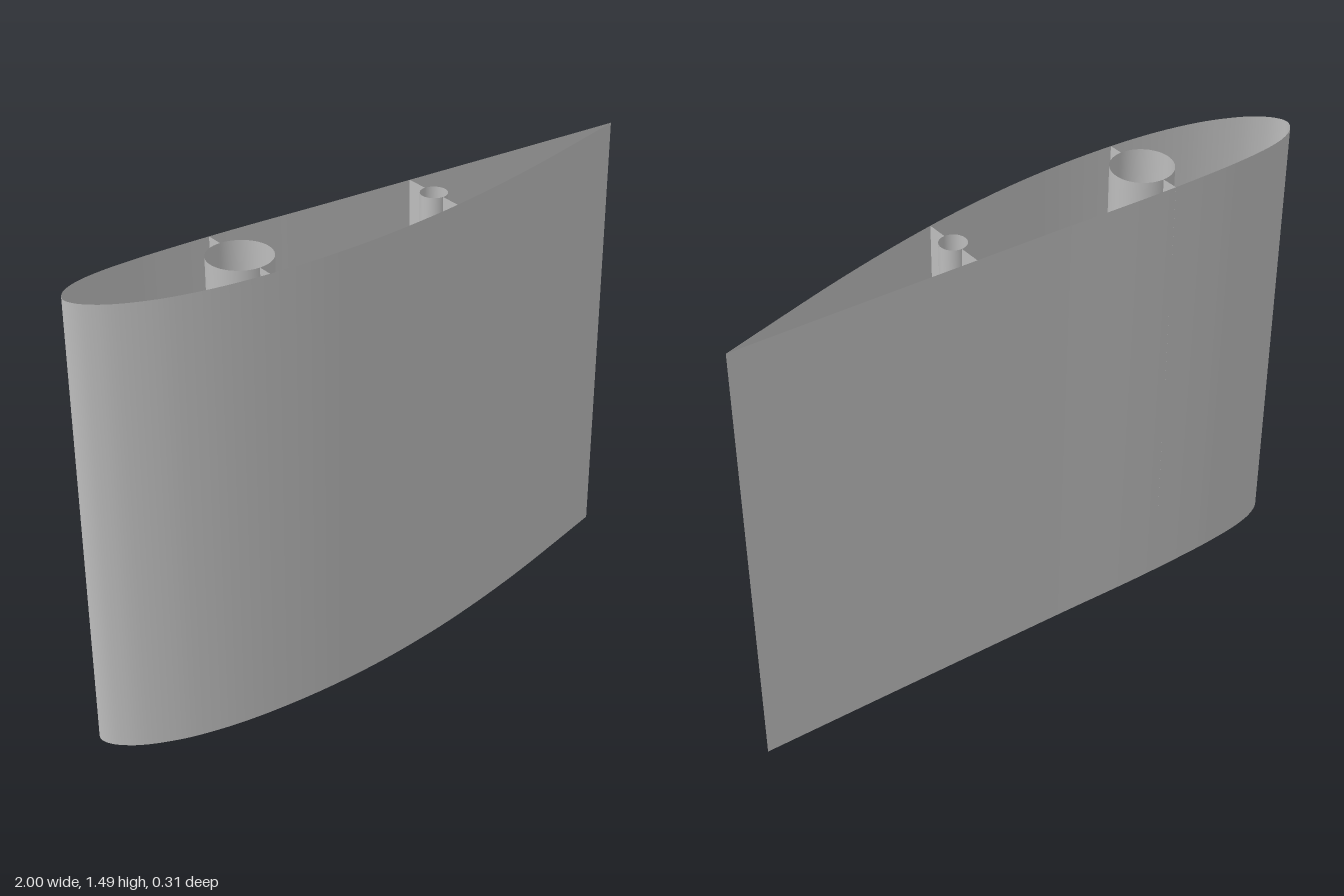
import * as THREE from 'three';

const HEIGHT = 1.49;

// Aerofoil section as [x, z]: trailing edge, along the back, round the nose, along the front
const SECTION = [
  [1, -0.075], [0.6, -0.095], [0.217, -0.115], [-0.1, -0.132], [-0.4, -0.15], [-0.6, -0.156],
  [-0.72, -0.156], [-0.85, -0.148], [-0.93, -0.13], [-0.98, -0.101], [-1, -0.065],
  [-0.988, -0.028], [-0.95, 0.012], [-0.9, 0.045], [-0.8, 0.088], [-0.7, 0.115], [-0.6, 0.133],
  [-0.475, 0.146], [-0.3, 0.153], [-0.1, 0.147], [0.1, 0.127], [0.217, 0.11], [0.4, 0.076],
  [0.6, 0.031], [0.8, -0.021], [1, -0.075],
];

// Round spar tubes, each held by a flat web reaching both skins
const SPARS = [
  { name: 'mainSpar', x: -0.475, r: 0.098, back: -0.153, front: 0.146 },
  { name: 'rearSpar', x: 0.217, r: 0.042, back: -0.115, front: 0.11 },
];

export function createModel() {
  const wing = new THREE.Group();
  wing.name = 'wingSection';
  const grey = new THREE.MeshStandardMaterial({ color: 0xbcbcbc, side: THREE.DoubleSide });
  grey.name = 'light grey';

  const add = (name, geometry, parent = wing) => {
    const mesh = new THREE.Mesh(geometry, grey);
    mesh.name = name;
    parent.add(mesh);
    return mesh;
  };

  const curve = new THREE.CatmullRomCurve3(
    SECTION.map(([x, z]) => new THREE.Vector3(x, 0, z)), false, 'centripetal');
  const steps = 125;
  const outline = curve.getPoints(steps);

  // Skin: a sheet wrapped round the section, open at the top
  const skin = new THREE.PlaneGeometry(1, HEIGHT, steps, 1);
  const pos = skin.attributes.position;
  for (let i = 0; i < pos.count; i++) {
    const p = outline[i % (steps + 1)];
    pos.setXYZ(i, p.x, pos.getY(i) + HEIGHT / 2, p.z);
  }
  skin.computeVertexNormals();
  add('skin', skin);

  // End rib with lightening holes and spar openings
  const rib = new THREE.Shape(outline.slice(0, -1).map((p) => new THREE.Vector2(p.x, p.z)));
  const toPath = (pts) => new THREE.Path(pts.map(([x, z]) => new THREE.Vector2(x, z)));

  // Nose hole runs into the main spar opening
  const [main, rear] = SPARS;
  const edge = -0.56;
  const angle = Math.acos((edge - main.x) / main.r);
  const nose = new THREE.Path();
  nose.moveTo(-0.845, 0.025);
  nose.lineTo(-0.845, -0.107);
  nose.lineTo(-0.77, -0.116);
  nose.lineTo(edge, -0.115);
  nose.absarc(main.x, 0, main.r, -angle, angle, false);
  nose.lineTo(edge, 0.097);
  nose.lineTo(-0.7, 0.073);
  nose.closePath();

  const rearOpening = new THREE.Path().absarc(rear.x, 0, rear.r, 0, Math.PI * 2, true);
  rib.holes.push(
    nose,
    rearOpening,
    toPath([[-0.374, -0.105], [0.122, -0.08], [0.122, 0.083], [-0.13, 0.108], [-0.374, 0.115]]),
    toPath([[0.31, -0.07], [0.597, -0.053], [0.597, 0.002], [0.31, 0.053]]),
  );
  const ribGeometry = new THREE.ShapeGeometry(rib, 24);
  ribGeometry.rotateX(Math.PI / 2);
  add('endRib', ribGeometry);

  // Spars
  for (const { name, x, r, back, front } of SPARS) {
    const spar = new THREE.Group();
    spar.name = name;
    spar.position.set(x, HEIGHT / 2, 0);
    wing.add(spar);
    add(name + 'Tube', new THREE.CylinderGeometry(r, r, HEIGHT, 48, 1, true), spar);
    for (const [side, from, to] of [['Back', back, -r], ['Front', r, front]]) {
      const web = add(name + side + 'Web', new THREE.PlaneGeometry(to - from, HEIGHT), spar);
      web.rotation.y = Math.PI / 2;
      web.position.z = (from + to) / 2;
    }
  }
  return wing;
}
